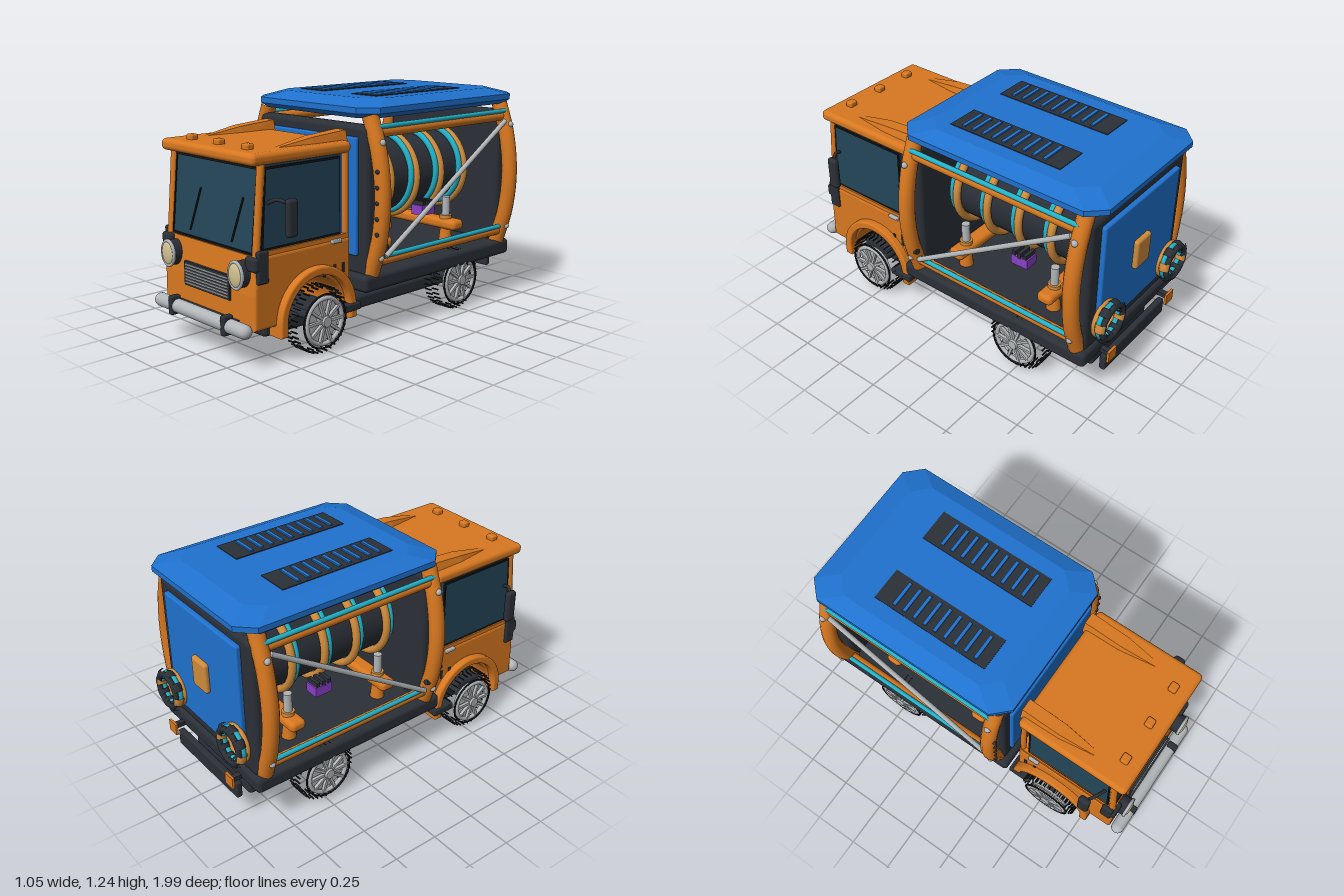
import * as THREE from 'three';
import { RoundedBoxGeometry } from 'three/addons/geometries/RoundedBoxGeometry.js';
import { ConvexGeometry } from 'three/addons/geometries/ConvexGeometry.js';

const mat = (name, color, extra = {}) => {
  const m = new THREE.MeshStandardMaterial({ color, ...extra });
  m.name = name;
  return m;
};

export function createModel() {
  const root = new THREE.Group();
  root.name = 'truck';
  const orange = mat('orange', 0xd87820), blue = mat('blue', 0x1f72cf), dark = mat('dark', 0x2b3037);
  const black = mat('black', 0x131416), glass = mat('glass', 0x24465a), silver = mat('silver', 0xb2b6b9);
  const cyan = mat('cyan', 0x22b0c8), purple = mat('purple', 0x8a3fc8), cream = mat('cream', 0xd2c290);
  const amber = mat('amber', 0xd08c3c);
  const V = (x, y, z) => new THREE.Vector3(x, y, z);

  const add = (name, geo, material, x = 0, y = 0, z = 0, parent = root) => {
    const m = new THREE.Mesh(geo, material);
    m.name = name;
    m.position.set(x, y, z);
    parent.add(m);
    return m;
  };
  // Box given by its limits on each axis, with rounded edges when r > 0
  const box = (name, material, [x0, x1], [y0, y1], [z0, z1], r = 0, parent = root) => {
    const s = [x1 - x0, y1 - y0, z1 - z0];
    const geo = r ? new RoundedBoxGeometry(...s, 3, r) : new THREE.BoxGeometry(...s);
    return add(name, geo, material, (x0 + x1) / 2, (y0 + y1) / 2, (z0 + z1) / 2, parent);
  };
  // Straight rod between two points
  const rod = (name, material, a, b, r, parent = root) => {
    const m = add(name, new THREE.CylinderGeometry(r, r, a.distanceTo(b), 14), material, 0, 0, 0, parent);
    m.position.copy(a).lerp(b, 0.5);
    m.quaternion.setFromUnitVectors(V(0, 1, 0), b.clone().sub(a).normalize());
    return m;
  };
  const tube = (name, material, pts, r, parent = root) =>
    add(name, new THREE.TubeGeometry(new THREE.CatmullRomCurve3(pts), 28, r, 14), material, 0, 0, 0, parent);
  // Profile in (z, y), extruded across x and centred on x
  const across = (shape, width, bevel = 0) => {
    const geo = new THREE.ExtrudeGeometry(shape, {
      depth: width - 2 * bevel, bevelEnabled: bevel > 0, bevelSize: bevel, bevelThickness: bevel,
      bevelOffset: -bevel, bevelSegments: 3, curveSegments: 24,
    });
    return geo.translate(0, 0, bevel - width / 2).rotateY(-Math.PI / 2);
  };
  const polygon = pts => new THREE.Shape(pts.map(p => new THREE.Vector2(...p)));
  const sides = fn => [1, -1].forEach(fn);
  const span = (s, a, b) => (s > 0 ? [a, b] : [-b, -a]);

  // Chassis, load floor and end walls
  box('chassis', dark, [-0.265, 0.265], [0.097, 0.175], [-0.86, 0.78], 0.02);
  box('loadFloor', dark, [-0.45, 0.45], [0.25, 0.34], [-0.92, 0.27], 0.025);
  box('frontWall', dark, [-0.42, 0.42], [0.32, 1.1], [0.15, 0.235], 0.03);
  box('rearWall', dark, [-0.42, 0.42], [0.32, 1.1], [-0.9, -0.82], 0.03);
  box('frontPanel', blue, [-0.36, 0.36], [0.43, 1.04], [0.225, 0.255], 0.01);
  box('rearPanel', blue, [-0.335, 0.335], [0.41, 1.05], [-0.925, -0.89], 0.01);
  box('rearHatch', amber, [-0.065, 0.065], [0.65, 0.82], [-0.95, -0.915], 0.015);
  box('rearBumper', dark, [-0.29, 0.29], [0.14, 0.235], [-0.95, -0.915], 0.01);

  // Faceted roof
  const roofPoints = [];
  [[1.135, 0.03, 0.03], [1.16, 0, 0], [1.19, 0, 0], [1.225, 0.085, 0.115]].forEach(([y, ix, iz]) => {
    const x = 0.455 - ix, z = 0.61 - iz, c = 0.085;
    for (const sx of [1, -1]) for (const sz of [1, -1])
      roofPoints.push(V(sx * x, y, sz * (z - c) - 0.345), V(sx * (x - c), y, sz * z - 0.345));
  });
  add('roof', new ConvexGeometry(roofPoints), blue);
  sides(s => {
    box('roofVent', dark, span(s, 0.108, 0.29), [1.222, 1.229], [-0.625, 0.04]);
    for (let i = 0; i < 9; i++) {
      const z = -0.52 + i * 0.0615;
      box('ventSlat', blue, span(s, 0.13, 0.27), [1.225, 1.237], [z - 0.009, z + 0.009]);
    }
  });

  // Bowed side frame, rails and braces
  sides(s => {
    const frame = new THREE.Group();
    frame.name = 'sideFrame';
    root.add(frame);
    [0.188, -0.85].forEach(z => {
      tube('bowedPost', orange, [[0.395, 1.145], [0.455, 0.97], [0.485, 0.75], [0.465, 0.53], [0.405, 0.33]]
        .map(([x, y]) => V(s * x, y, z)), 0.043, frame);
      [[0.48, 1.02], [0.475, 0.43]].forEach(([x, y]) =>
        add('bolt', new THREE.SphereGeometry(0.018, 12, 8), silver, s * x, y, z, frame));
    });
    rod('topRail', orange, V(s * 0.43, 1.065, 0.188), V(s * 0.43, 1.065, -0.85), 0.027, frame);
    rod('topPiping', cyan, V(s * 0.445, 1.095, 0.188), V(s * 0.445, 1.095, -0.85), 0.013, frame);
    rod('bottomRail', orange, V(s * 0.43, 0.402, 0.188), V(s * 0.43, 0.402, -0.85), 0.027, frame);
    rod('bottomPiping', cyan, V(s * 0.45, 0.428, 0.188), V(s * 0.45, 0.428, -0.85), 0.013, frame);
    rod('diagonalBrace', silver, V(s * 0.465, 0.43, 0.14), V(s * 0.465, 1.04, -0.82), 0.014, frame);
    rod('braceGrip', dark, V(s * 0.47, 0.47, 0.21), V(s * 0.47, 0.485, 0.14), 0.016, frame);
    for (let i = 0; i < 5; i++)
      add('postStud', new THREE.SphereGeometry(0.012, 10, 6), dark, s * 0.485, 0.56 + i * 0.08, 0.228, frame);
  });

  // Drum with paired hoops
  add('drum', new THREE.CylinderGeometry(0.207, 0.207, 0.81, 40).rotateX(Math.PI / 2), dark, 0, 0.745, -0.335);
  for (let i = 0; i < 5; i++) {
    const z = 0.064 - i * 0.204;
    add('amberHoop', new THREE.TorusGeometry(0.23, 0.022, 12, 48), amber, 0, 0.745, z);
    add('cyanHoop', new THREE.TorusGeometry(0.222, 0.017, 12, 48), cyan, 0, 0.755, z + 0.034);
  }

  // Drum supports and small side units
  [-0.003, -0.59].forEach(z => {
    box('supportBeam', orange, [-0.34, 0.34], [0.42, 0.48], [z - 0.046, z + 0.046], 0.025);
    sides(s => {
      add('supportFoot', new THREE.CylinderGeometry(0.03, 0.04, 0.09, 16), orange, s * 0.24, 0.38, z);
      add('supportCollar', new THREE.CylinderGeometry(0.035, 0.035, 0.03, 16), amber, s * 0.24, 0.485, z);
      add('supportPost', new THREE.CylinderGeometry(0.023, 0.023, 0.11, 16), silver, s * 0.24, 0.55, z);
    });
  });
  sides(s => {
    box('controlBlock', purple, span(s, 0.2, 0.28), [0.535, 0.59], [-0.443, -0.34]);
    for (let i = 0; i < 3; i++)
      box('controlLever', dark, span(s, 0.2, 0.28), [0.58, 0.615], [-0.435 + i * 0.035, -0.415 + i * 0.035]);
  });

  // Banded hose coils and rear reflectors
  sides(s => {
    const coil = new THREE.Group();
    coil.name = 'hoseCoil';
    coil.position.set(s * 0.3, 0.495, -0.955);
    root.add(coil);
    [-0.025, 0, 0.025].forEach((z, k) => {
      add('hoseLoop', new THREE.TorusGeometry(0.09, 0.015, 10, 36), [dark, cyan, amber][k], 0, 0, z, coil);
    });
    for (let i = 0; i < 8; i++) {
      const band = add('hoseBand', new THREE.TorusGeometry(0.09, 0.029, 10, 5, 0.42), i % 4 ? dark : amber, 0, 0, -0.011, coil);
      band.rotation.z = i * Math.PI / 4;
    }
    box('rearReflector', orange, span(s, 0.245, 0.315), [0.235, 0.3], [-0.985, -0.972]);
    box('reflectorBracket', dark, span(s, 0.265, 0.295), [0.26, 0.285], [-0.975, -0.9]);
  });

  // Cab lower body with wheel arch cut-outs
  const body = polygon([[0.3, 0.2], [0.3, 0.545], [0.9, 0.545], [0.918, 0.36], [0.92, 0.185], [0.75, 0.185]]);
  body.absarc(0.54, 0.17, 0.205, 0.07, Math.PI - 0.07, false);
  add('cabBody', across(body, 0.74, 0.015), orange);
  sides(s => {
    const fender = new THREE.Shape();
    fender.moveTo(0.79, 0.13);
    fender.lineTo(0.79, 0.19);
    fender.absarc(0.54, 0.19, 0.25, 0, Math.PI, false);
    fender.lineTo(0.29, 0.13);
    fender.lineTo(0.335, 0.13);
    fender.absarc(0.54, 0.19, 0.205, Math.PI, 0, true);
    fender.lineTo(0.745, 0.13);
    add('fender', across(fender, 0.1, 0.01), orange, s * 0.36);
    box('step', dark, span(s, 0.32, 0.42), [0.168, 0.208], [0.27, 0.41], 0.008);
    box('doorHandle', silver, span(s, 0.365, 0.385), [0.53, 0.55], [0.37, 0.435], 0.005);
    [0.48, 0.41, 0.35].forEach(z =>
      box('bodySlot', dark, span(s, 0.368, 0.374), [0.37, 0.42], [z - 0.008, z + 0.008]));
  });

  // Cab glasshouse and pillars
  add('cabGlass', across(polygon([[0.35, 0.53], [0.35, 0.97], [0.842, 0.97], [0.885, 0.53]]), 0.7), glass);
  sides(s => {
    rod('frontPillar', orange, V(s * 0.345, 0.53, 0.888), V(s * 0.345, 0.99, 0.848), 0.02);
    rod('rearPillar', orange, V(s * 0.345, 0.52, 0.315), V(s * 0.345, 0.99, 0.315), 0.017);
    const w = [[0.355, 0.565], [0.355, 0.96], [0.835, 0.96], [0.862, 0.565]];
    const trim = polygon(w);
    trim.holes.push(new THREE.Path([[0.365, 0.577], [0.365, 0.948], [0.826, 0.948], [0.851, 0.577]]
      .map(p => new THREE.Vector2(...p))));
    add('windowTrim', across(trim, 0.008), black, s * 0.352);
    box('windowSill', orange, span(s, 0.34, 0.364), [0.53, 0.565], [0.31, 0.88]);
    box('cornerTrim', dark, span(s, 0.3, 0.385), [0.475, 0.545], [0.84, 0.925], 0.015);
    box('cornerGuard', dark, span(s, 0.36, 0.385), [0.415, 0.575], [0.84, 0.905], 0.01);
    // Mirror on a bent arm
    tube('mirrorArm', dark, [V(s * 0.35, 0.79, 0.82), V(s * 0.4, 0.81, 0.8), V(s * 0.455, 0.79, 0.765)], 0.009);
    box('mirror', dark, span(s, 0.437, 0.475), [0.635, 0.82], [0.73, 0.795], 0.018);
  });

  // Windscreen trim and wipers, tilted with the glass
  const screen = new THREE.Group();
  screen.name = 'windscreen';
  screen.position.set(0, 0.75, 0.866);
  screen.rotation.x = -Math.atan2(0.043, 0.44);
  root.add(screen);
  box('screenGlass', glass, [-0.318, 0.318], [-0.195, 0.2], [0, 0.004], 0, screen);
  sides(s => {
    box('screenTrimSide', black, span(s, 0.318, 0.328), [-0.205, 0.21], [0, 0.008], 0, screen);
    box('screenTrimEdge', black, [-0.328, 0.328], span(s, 0.197, 0.207), [0, 0.008], 0, screen);
    const x = s > 0 ? 0.17 : -0.168;
    rod('wiper', black, V(x, -0.165, 0.012), V(x + 0.07, 0.055, 0.012), 0.005, screen);
  });

  // Cab roof with fairings and marker lights
  box('cabRoof', orange, [-0.372, 0.372], [0.97, 1.03], [0.29, 0.92], 0.025);
  sides(s => {
    const pts = [];
    [[0.28, 0.052, 1.078], [0.5, 0.05, 1.062], [0.72, 0.015, 1.027]].forEach(([z, w, y]) =>
      [-1, 1].forEach(k => pts.push(V(s * 0.28 + k * w, 1.0, z), V(s * 0.28 + k * w * 0.65, y, z))));
    add('roofFairing', new ConvexGeometry(pts), orange);
  });
  [-0.222, 0, 0.222].forEach(x =>
    box('markerLight', orange, [x - 0.025, x + 0.025], [1.02, 1.057], [0.805, 0.85], 0.01));

  // Grille, headlights and front bumper
  box('grille', dark, [-0.187, 0.187], [0.303, 0.427], [0.91, 0.926]);
  for (let i = 0; i < 7; i++) {
    const y = 0.318 + i * 0.0157;
    box('grilleSlat', silver, [-0.176, 0.176], [y - 0.004, y + 0.004], [0.92, 0.931]);
  }
  sides(s => {
    const lamp = new THREE.Group();
    lamp.name = 'headlight';
    lamp.position.set(s * 0.278, 0.455, 0.935);
    lamp.scale.x = 0.8;
    root.add(lamp);
    add('lampHousing', new THREE.CylinderGeometry(0.066, 0.066, 0.06, 32).rotateX(Math.PI / 2), dark, 0, 0, -0.005, lamp);
    add('lampRim', new THREE.TorusGeometry(0.064, 0.009, 10, 36), silver, 0, 0, 0.022, lamp);
    add('lampLens', new THREE.SphereGeometry(0.06, 28, 14).scale(1, 1, 0.25), cream, 0, 0, 0.024, lamp);
    box('bumperGuard', dark, span(s, 0.2, 0.235), [0.15, 0.25], [0.94, 1.0], 0.01);
  });
  add('frontBumper', new THREE.CapsuleGeometry(0.036, 0.69, 6, 18).rotateZ(Math.PI / 2), silver, 0, 0.196, 0.962);
  box('bumperMount', dark, [-0.25, 0.25], [0.15, 0.22], [0.76, 0.94]);

  // Spoked wheels with separate tread bars
  sides(s => [0.54, -0.49].forEach(z => {
    const wheel = new THREE.Group();
    wheel.name = 'wheel';
    wheel.position.set(s * 0.43, 0.172, z);
    wheel.rotation.y = s * Math.PI / 2;
    root.add(wheel);
    add('wheelDish', new THREE.CylinderGeometry(0.11, 0.11, 0.012, 36).rotateX(Math.PI / 2), silver, 0, 0, -0.02, wheel);
    add('rim', new THREE.TorusGeometry(0.116, 0.012, 10, 40), silver, 0, 0, 0.005, wheel);
    add('tyreBead', new THREE.TorusGeometry(0.137, 0.005, 8, 48), black, 0, 0, 0.01, wheel);
    add('hub', new THREE.CylinderGeometry(0.026, 0.034, 0.045, 20).rotateX(Math.PI / 2), silver, 0, 0, 0.008, wheel);
    for (let i = 0; i < 10; i++) {
      const spoke = add('spoke', new THREE.BoxGeometry(0.09, 0.014, 0.018).translate(0.068, 0, 0), silver, 0, 0, 0.01, wheel);
      spoke.rotation.z = i * Math.PI / 5;
    }
    for (let i = 0; i < 36; i++) [-0.032, -0.084].forEach((d, k) => {
      const bar = add('treadBar', new THREE.BoxGeometry(0.008, 0.005, 0.046).translate(0.167, 0, 0), black, 0, 0, d, wheel);
      bar.rotation.z = (i + k * 0.5) * Math.PI / 18;
    });
  }));
  [0.54, -0.49].forEach(z => rod('axle', dark, V(-0.41, 0.172, z), V(0.41, 0.172, z), 0.022));

  return root;
}
